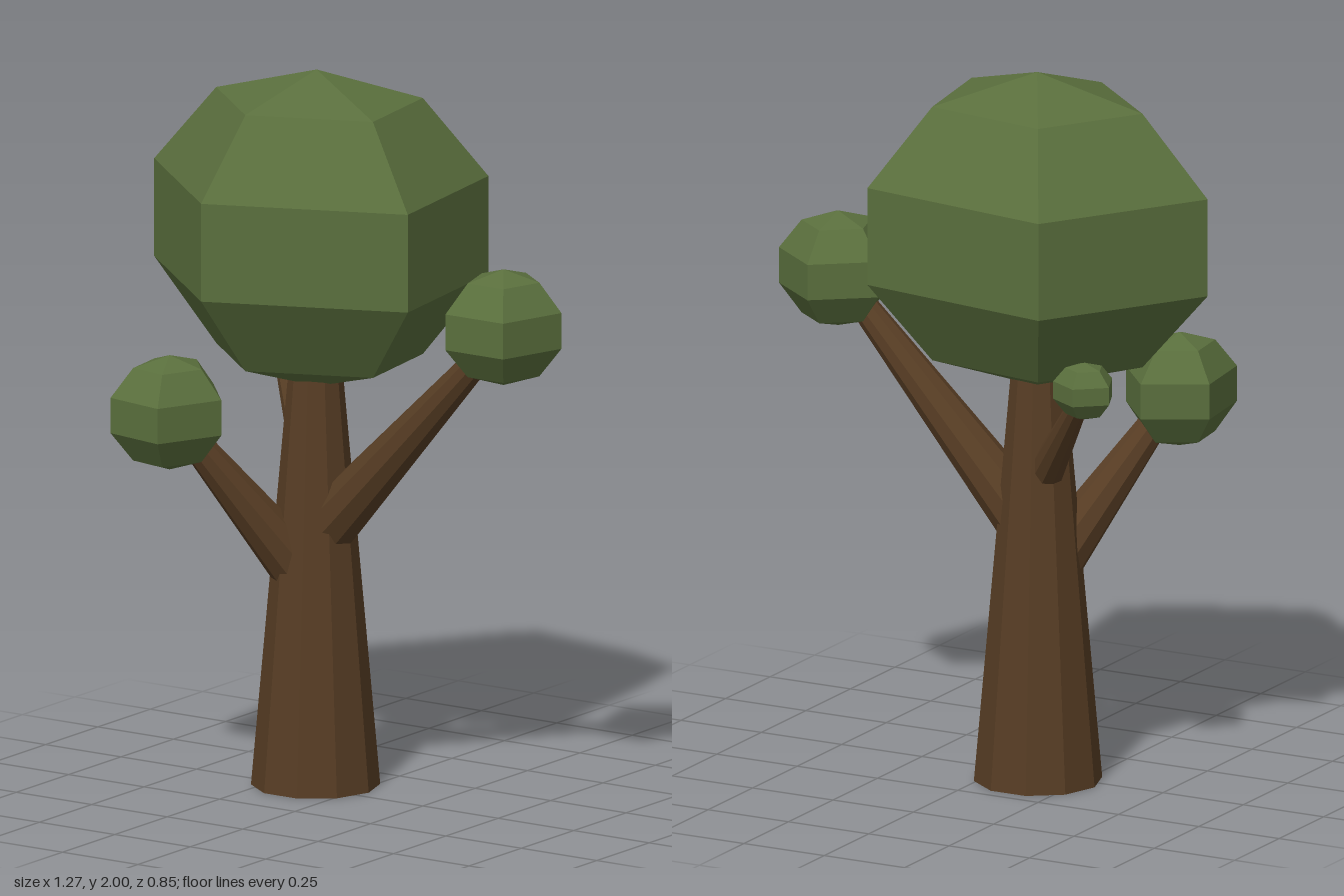
import * as THREE from 'three';

export function createModel() {
  const tree = new THREE.Group();
  tree.name = 'tree';
  const bark = new THREE.MeshStandardMaterial({ color: 0x573d24, flatShading: true });
  bark.name = 'bark';
  const leaves = new THREE.MeshStandardMaterial({ color: 0x5a6f3d, flatShading: true });
  leaves.name = 'leaves';

  const add = (name, geometry, material) => {
    const mesh = new THREE.Mesh(geometry, material);
    mesh.name = name;
    tree.add(mesh);
    return mesh;
  };

  // Tapered ten-sided limb between two points
  const limb = (name, from, to, r0, r1) => {
    const a = new THREE.Vector3(...from);
    const b = new THREE.Vector3(...to);
    const dir = b.clone().sub(a);
    const geometry = new THREE.CylinderGeometry(r1, r0, dir.length(), 10).rotateY(Math.PI / 2);
    const mesh = add(name, geometry, bark);
    mesh.position.copy(a).add(b).multiplyScalar(0.5);
    mesh.quaternion.setFromUnitVectors(new THREE.Vector3(0, 1, 0), dir.normalize());
  };

  // Five-sided leaf ball; turn is the angle of one corner from +x towards +z
  const leafBall = (name, centre, radii, turn) => {
    const geometry = new THREE.SphereGeometry(1, 5, 5);
    geometry.rotateY(THREE.MathUtils.degToRad(36 - turn)).scale(...radii);
    add(name, geometry, leaves).position.set(...centre);
  };

  // Trunk and branches
  limb('trunk', [-0.135, 0, -0.043], [-0.135, 1.25, -0.043], 0.176, 0.066);
  limb('leftBranch', [-0.135, 0.685, -0.043], [0.45, 1.312, -0.045], 0.086, 0.034);
  limb('frontBranch', [-0.135, 0.55, -0.043], [-0.39, 1.04, 0.25], 0.085, 0.035);
  limb('backBranch', [-0.135, 0.82, -0.043], [-0.38, 1.165, -0.23], 0.055, 0.025);

  // Foliage
  leafBall('crown', [-0.135, 1.557, -0.048], [0.53, 0.443, 0.448], 28.5);
  leafBall('leftLeaves', [0.483, 1.363, -0.05], [0.171, 0.162, 0.182], 54);
  leafBall('frontLeaves', [-0.405, 1.065, 0.265], [0.163, 0.16, 0.184], 63.5);
  leafBall('backLeaves', [-0.39, 1.18, -0.24], [0.092, 0.08, 0.088], 49);

  return tree;
}
